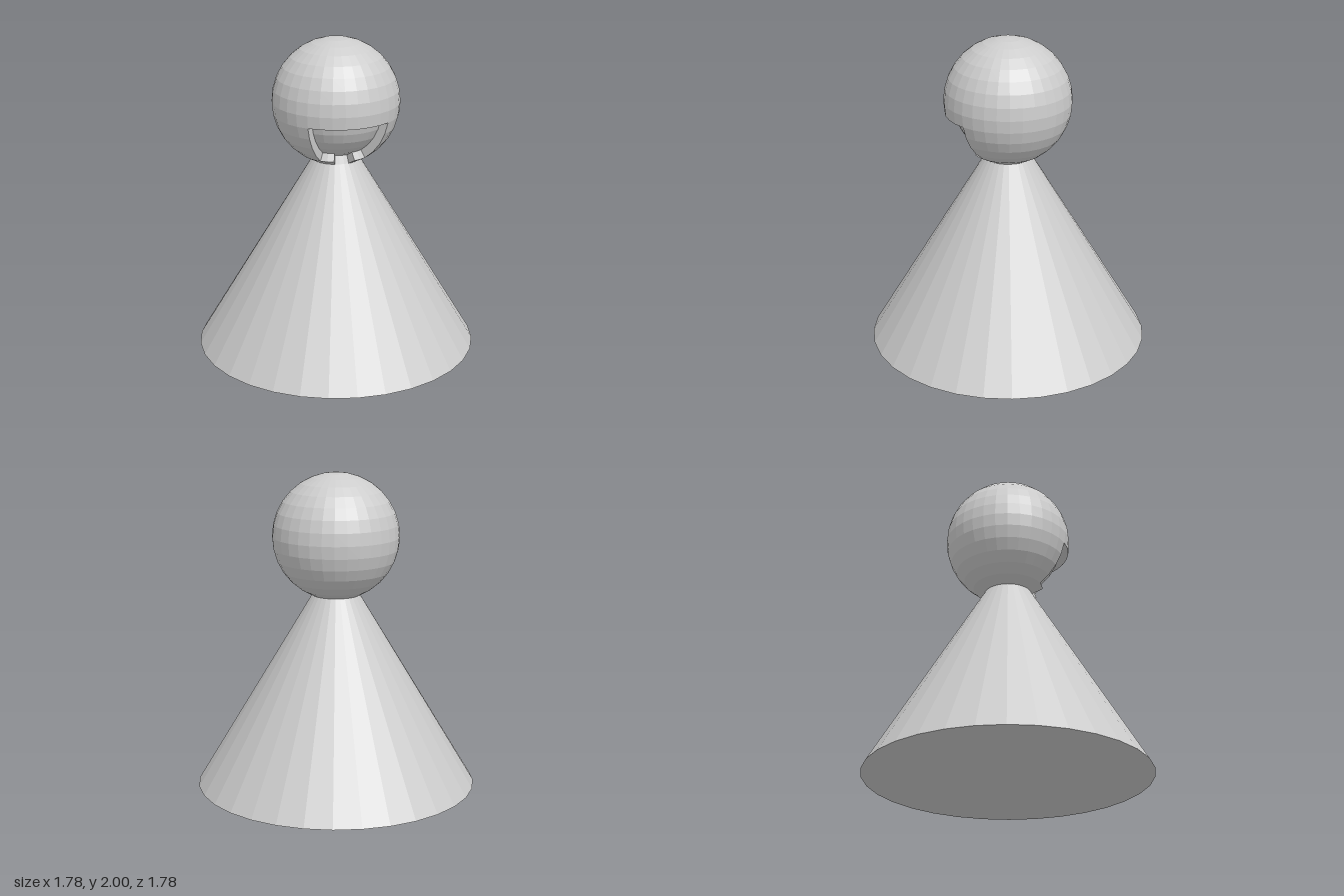
import * as THREE from 'three';

const STEP = Math.PI / 16;   // 32 columns and 16 rows on the head
const OUTER = 0.4, INNER = 0.345, HEAD_Y = 1.6;

const grey = new THREE.MeshStandardMaterial({ color: 0xcccccc, flatShading: true, side: THREE.DoubleSide });
grey.name = 'grey';

function add(group, name, geometry, y) {
  const mesh = new THREE.Mesh(geometry, grey);
  mesh.name = name;
  mesh.position.y = y;
  group.add(mesh);
}

// Patch of a sphere; column 0 faces +z and columns run towards +x, row 0 is the top
function patch(radius, c0, c1, r0, r1) {
  return new THREE.SphereGeometry(radius, c1 - c0, r1 - r0,
    Math.PI / 2 + c0 * STEP, (c1 - c0) * STEP, r0 * STEP, (r1 - r0) * STEP);
}

// Strip joining the outer and inner skins along a list of [column, row] points
function rim(points) {
  const positions = [], index = [];
  points.forEach(([c, r], i) => {
    for (const radius of [OUTER, INNER]) {
      positions.push(...new THREE.Vector3().setFromSphericalCoords(radius, r * STEP, c * STEP).toArray());
    }
    if (i > 0) {
      const a = 2 * (i - 1);
      index.push(a, a + 2, a + 1, a + 1, a + 2, a + 3);
    }
  });
  const g = new THREE.BufferGeometry();
  g.setAttribute('position', new THREE.Float32BufferAttribute(positions, 3));
  g.setIndex(index);
  g.computeVertexNormals();
  return g;
}

export function createModel() {
  const model = new THREE.Group();
  model.name = 'conePawn';

  // Conical body, its tip hidden in the head
  add(model, 'body', new THREE.ConeGeometry(0.89, 1.48, 32), 0.74);

  // Head skin around the mouth opening
  const head = new THREE.Group();
  head.name = 'head';
  model.add(head);
  add(head, 'headTop', patch(OUTER, 0, 32, 0, 9), HEAD_Y);
  add(head, 'headLower', patch(OUTER, 5, 30, 9, 16), HEAD_Y);
  add(head, 'lipRight', patch(OUTER, -2, 0, 13, 16), HEAD_Y);
  add(head, 'lipLeft', patch(OUTER, 3, 5, 13, 16), HEAD_Y);
  add(head, 'lipGap', patch(OUTER, 0, 3, 14, 16), HEAD_Y);

  // Sunken mouth and the walls around it
  add(head, 'mouthBack', patch(INNER, -2, 5, 9, 14), HEAD_Y);
  const outline = [];
  for (let c = -2; c <= 5; c++) outline.push([c, 9]);
  for (let r = 10; r <= 13; r++) outline.push([5, r]);
  outline.push([4, 13], [3, 13], [3, 14], [2, 14], [1, 14], [0, 14], [0, 13], [-1, 13]);
  for (let r = 13; r >= 9; r--) outline.push([-2, r]);
  add(head, 'mouthRim', rim(outline), HEAD_Y);

  return model;
}
